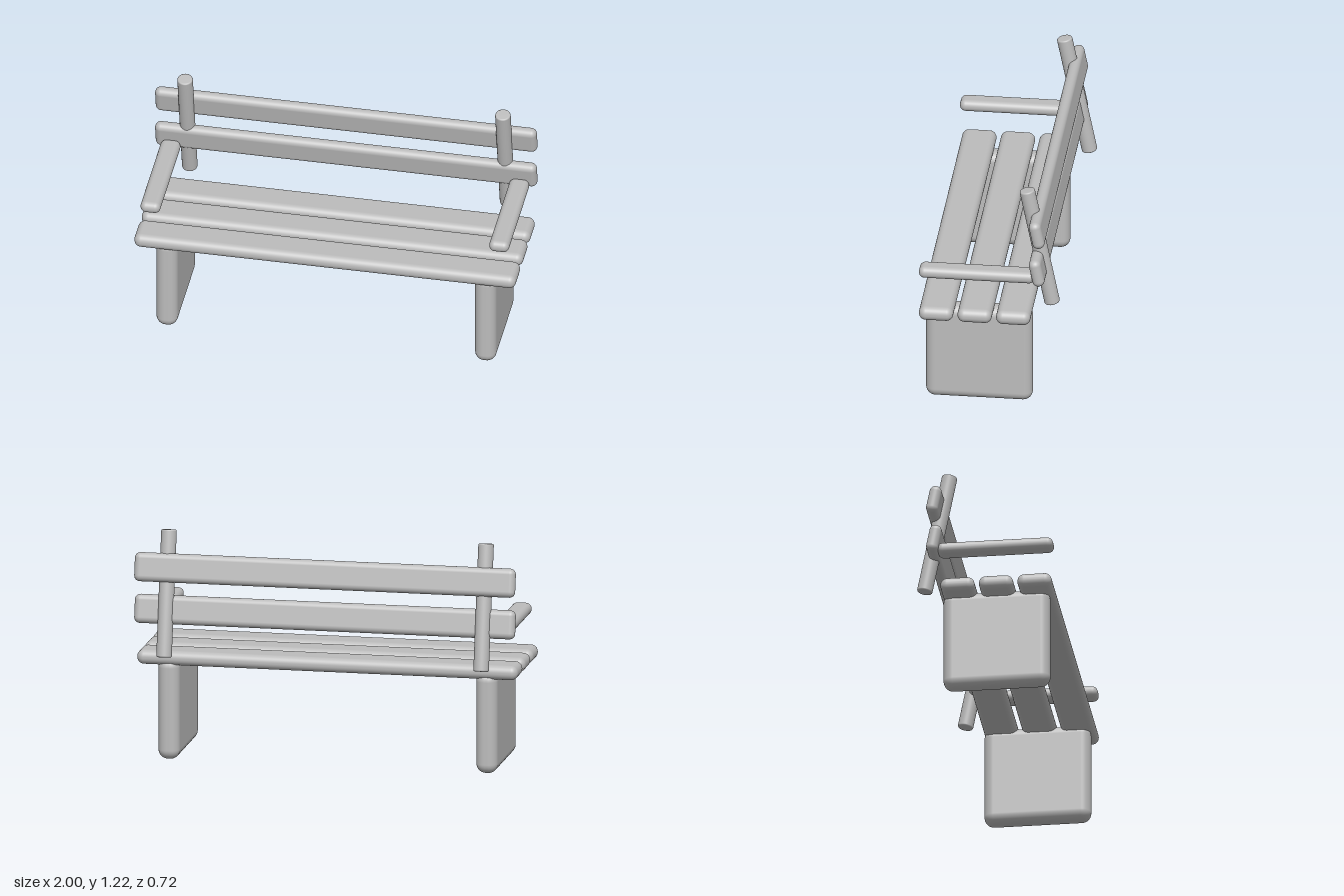
import * as THREE from 'three';
import { RoundedBoxGeometry } from 'three/addons/geometries/RoundedBoxGeometry.js';

const LEAN = 0.2; // forward tilt of the backrest

export function createModel() {
  const bench = new THREE.Group();
  bench.name = 'bench';
  const grey = new THREE.MeshStandardMaterial({ color: 0xbcbcbc });
  grey.name = 'plain grey';

  const add = (name, geometry, x, y, z, tilt = 0) => {
    const mesh = new THREE.Mesh(geometry, grey);
    mesh.name = name;
    mesh.position.set(x, y, z);
    mesh.rotation.x = tilt;
    bench.add(mesh);
  };
  const board = (w, h, d, r) => new RoundedBoxGeometry(w, h, d, 5, r);

  // Three seat planks
  const plank = board(2, 0.075, 0.177, 0.036);
  [0.268, 0.068, -0.132].forEach((z, i) => add('seatPlank' + (i + 1), plank, 0, 0.536, z));

  // Two tilted back slats
  const slat = board(2, 0.15, 0.062, 0.03);
  add('upperBackSlat', slat, 0, 1.025, -0.254, LEAN);
  add('lowerBackSlat', slat, 0, 0.805, -0.254, LEAN);

  // Round post with softened rims
  const r = 0.04, h = 0.33, b = 0.008;
  const rim = [];
  for (let i = 0; i <= 4; i++) {
    const a = (i / 4) * Math.PI / 2;
    rim.push(new THREE.Vector2(r - b + b * Math.cos(a), h - b + b * Math.sin(a)));
  }
  const profile = [
    new THREE.Vector2(0, -h),
    ...rim.map((p) => new THREE.Vector2(p.x, -p.y)).reverse(),
    ...rim,
    new THREE.Vector2(0, h),
  ];
  const post = new THREE.LatheGeometry(profile, 32);

  // Side parts, mirrored
  const leg = board(0.112, 0.534, 0.553, 0.05);
  const arm = board(0.104, 0.062, 0.6, 0.03);
  for (const [side, s] of [['left', 1], ['right', -1]]) {
    add(side + 'Leg', leg, s * 0.835, 0.267, 0.057);
    add(side + 'BackPost', post, s * 0.833, 0.89, -0.254, LEAN);
    add(side + 'Armrest', arm, s * 0.914, 0.759, 0.06);
  }
  return bench;
}
